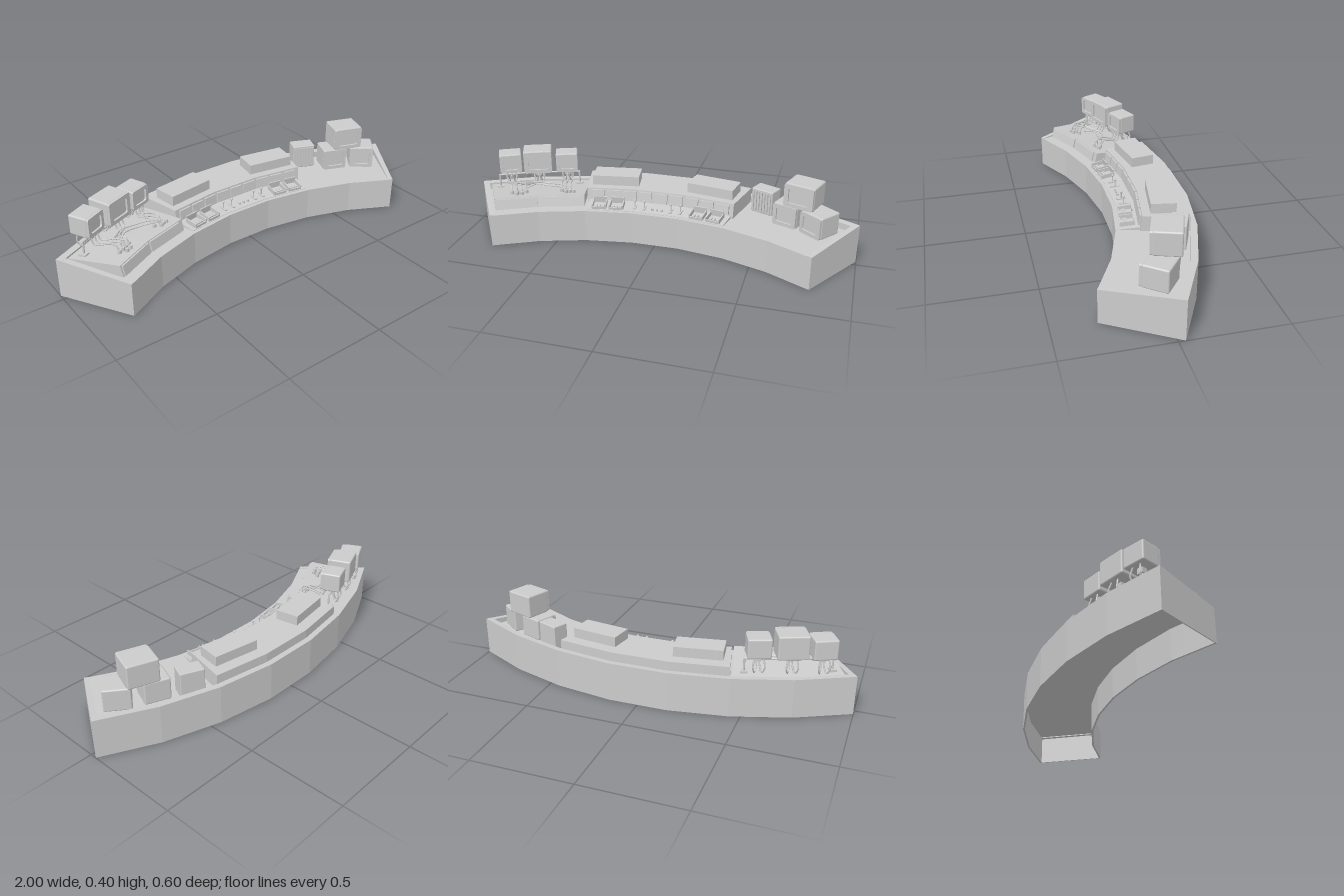
import * as THREE from 'three';
import { RoundedBoxGeometry } from 'three/addons/geometries/RoundedBoxGeometry.js';

const flat = new THREE.MeshStandardMaterial({ color: 0xcccccc, flatShading: true, side: THREE.DoubleSide });
const smooth = new THREE.MeshStandardMaterial({ color: 0xcccccc });
const STEP = THREE.MathUtils.degToRad(8.95); // the desk bends in seven flat facets
const CZ = 1.61; // centre of the arc

// Point at facet coordinate t (-3.5 to 3.5), radius r, height y, lying on the straight facet
function at(t, r, y) {
  const i = Math.min(2.5, Math.max(-3.5, Math.floor(t + 0.5) - 0.5));
  const corner = (k) => new THREE.Vector3(r * Math.sin(k * STEP), y, CZ - r * Math.cos(k * STEP));
  return corner(i).lerp(corner(i + 1), t - i);
}

function add(parent, name, geometry, material, x = 0, y = 0, z = 0) {
  const m = new THREE.Mesh(geometry, material);
  m.name = name;
  m.position.set(x, y, z);
  parent.add(m);
  return m;
}
const box = (p, name, w, h, d, x, y, z) => add(p, name, new THREE.BoxGeometry(w, h, d), flat, x, y, z);

// Sweep a closed (radius, height) profile around the arc and cap both ends
function sector(parent, name, profile, t0, t1) {
  const ts = [t0];
  for (let k = -2.5; k < 3; k++) if (k > t0 + 1e-4 && k < t1 - 1e-4) ts.push(k);
  ts.push(t1);
  const pos = [];
  const tri = (...v) => v.forEach((p) => pos.push(p.x, p.y, p.z));
  for (let s = 0; s < ts.length - 1; s++) {
    profile.forEach((a, i) => {
      const b = profile[(i + 1) % profile.length];
      const [a0, a1] = [at(ts[s], ...a), at(ts[s + 1], ...a)];
      const [b0, b1] = [at(ts[s], ...b), at(ts[s + 1], ...b)];
      tri(a0, a1, b1);
      tri(a0, b1, b0);
    });
  }
  const pts = profile.map((p) => new THREE.Vector2(...p));
  for (const f of THREE.ShapeUtils.triangulateShape(pts, [])) {
    const clockwise = THREE.ShapeUtils.area(f.map((i) => pts[i])) < 0;
    const c = clockwise ? f : [...f].reverse();
    tri(...c.map((i) => at(t0, ...profile[i])));
    tri(...[...c].reverse().map((i) => at(t1, ...profile[i])));
  }
  const g = new THREE.BufferGeometry();
  g.setAttribute('position', new THREE.Float32BufferAttribute(pos, 3));
  g.computeVertexNormals();
  return add(parent, name, g, flat);
}

// Group placed on the arc at facet coordinate t, facing the centre
function onArc(parent, name, t, r, y) {
  const g = new THREE.Group();
  g.name = name;
  g.position.copy(at(t, r, y));
  g.rotation.y = -t * STEP;
  parent.add(g);
  return g;
}

function roundRect(path, w, h, r) {
  const x = w / 2, y = h / 2;
  path.moveTo(-x + r, -y).lineTo(x - r, -y).quadraticCurveTo(x, -y, x, -y + r)
    .lineTo(x, y - r).quadraticCurveTo(x, y, x - r, y).lineTo(-x + r, y)
    .quadraticCurveTo(-x, y, -x, y - r).lineTo(-x, -y + r).quadraticCurveTo(-x, -y, -x + r, -y);
  return path;
}

// Boxy tube monitor with a framed, recessed screen; origin at its bottom centre
function monitor(parent, name, x, y, z, w, h, d, turn) {
  const g = new THREE.Group();
  g.name = name;
  g.position.set(x, y, z);
  g.rotation.y = turn;
  parent.add(g);
  add(g, 'casing', new RoundedBoxGeometry(w, h, d - 0.01, 2, 0.008), smooth, 0, h / 2, -0.005);
  const frame = roundRect(new THREE.Shape(), w - 0.004, h - 0.004, 0.01);
  frame.holes.push(roundRect(new THREE.Path(), w * 0.68, h * 0.64, 0.012));
  const fg = new THREE.ExtrudeGeometry(frame, { depth: 0.013, bevelEnabled: false, curveSegments: 4 });
  add(g, 'screenFrame', fg, flat, 0, h / 2, d / 2 - 0.013);
  return g;
}

function cable(parent, name, points, r = 0.004) {
  const curve = new THREE.CatmullRomCurve3(points);
  return add(parent, name, new THREE.TubeGeometry(curve, 18, r, 6), smooth);
}

export function createModel() {
  const root = new THREE.Group();
  root.name = 'curvedControlDesk';

  // Desk shell, open underneath, with a raised rim at the back and both ends
  sector(root, 'deskShell', [[1.54, 0], [1.54, 0.168], [1.89, 0.166], [1.89, 0.198], [1.922, 0.2], [1.922, 0],
    [1.912, 0], [1.912, 0.155], [1.55, 0.155], [1.55, 0]], -3.5, 3.5);
  for (const s of [-1, 1]) {
    const [a, b] = [s * 3.5, s * 3.4].sort((p, q) => p - q);
    sector(root, 'endRim', [[1.54, 0.15], [1.54, 0.17], [1.922, 0.2], [1.922, 0.15]], a, b);
    const [c, d] = [s * 3.5, s * 3.48].sort((p, q) => p - q);
    sector(root, 'endWall', [[1.54, 0], [1.54, 0.17], [1.922, 0.2], [1.922, 0]], c, d);
  }

  // Middle: raised deck, sloping control strip and display panels
  sector(root, 'middleDeck', [[1.655, 0.165], [1.665, 0.245], [1.89, 0.245], [1.89, 0.165]], -1.5, 1.5);
  sector(root, 'controlStrip', [[1.56, 0.165], [1.56, 0.17], [1.66, 0.182], [1.66, 0.165]], -1.46, 1.46);
  for (let i = -4; i <= 4; i++) {
    const t = i * 0.32;
    sector(root, 'displayPanel', [[1.648, 0.188], [1.655, 0.237], [1.67, 0.237], [1.67, 0.188]], t - 0.135, t + 0.135);
  }
  for (const s of [-1, 1]) {
    const b = box(root, 'deckCabinet', 0.243, 0.052, 0.122, s * 0.26, 0.27, -0.133);
    b.rotation.y = -s * 0.16;
    // Framed key units
    for (const t of [0.86, 1.22]) {
      const g = onArc(root, 'keyUnit', s * t, 1.6, 0.176);
      g.rotation.order = 'YXZ';
      g.rotation.x = 0.12;
      for (const e of [-1, 1]) {
        box(g, 'unitSide', 0.006, 0.022, 0.07, e * 0.034, 0.011, 0);
        box(g, 'unitEnd', 0.068, 0.012, 0.006, 0, 0.006, e * 0.033);
      }
      box(g, 'unitBack', 0.068, 0.034, 0.006, 0, 0.017, -0.033);
      for (let k = -1; k <= 1; k++) box(g, 'key', 0.014, 0.01, 0.02, k * 0.018, 0.005, 0.012);
    }
    // Levers standing in slots
    for (const t of [0.28, 0.48]) {
      const g = onArc(root, 'lever', s * t, 1.6, 0.174);
      box(g, 'slot', 0.014, 0.006, 0.05, 0, 0.003, 0);
      add(g, 'stem', new THREE.CylinderGeometry(0.003, 0.003, 0.035, 6), smooth, 0, 0.02, 0);
      add(g, 'knob', new THREE.SphereGeometry(0.007, 8, 6), smooth, 0, 0.04, 0);
    }
  }
  for (let i = -1; i <= 1; i++) {
    const g = onArc(root, 'button', i * 0.1, 1.59, 0.178);
    add(g, 'buttonCap', new THREE.CylinderGeometry(0.006, 0.006, 0.012, 8), smooth);
  }

  // Wing with a raised patch deck and two front plates
  const deckY = (r) => 0.225 - 0.13 * (r - 1.615);
  sector(root, 'patchDeck', [[1.6, 0.165], [1.615, 0.225], [1.89, deckY(1.89)], [1.89, 0.165]], -3.36, -1.54);
  for (const t of [-3.33, -2.47]) {
    sector(root, 'frontPlate', [[1.594, 0.172], [1.606, 0.221], [1.62, 0.221], [1.61, 0.172]], t, t + 0.82);
  }

  // Rail on two bracketed posts carrying three monitors
  const railR = 1.835, railY = 0.265;
  const rail = [-3.2, -2.5, -1.72].map((t) => at(t, railR, railY));
  for (let i = 0; i < 2; i++) {
    const line = new THREE.LineCurve3(rail[i], rail[i + 1]);
    add(root, 'rail', new THREE.TubeGeometry(line, 1, 0.005, 8), smooth);
  }
  for (const t of [-3.2, -1.72]) {
    const g = onArc(root, 'railPost', t, railR, 0.19);
    add(g, 'post', new THREE.CylinderGeometry(0.005, 0.005, 0.08, 8), smooth, 0, 0.039, 0);
    box(g, 'foot', 0.035, 0.014, 0.035, 0, 0.008, 0);
  }
  const heads = [[-0.83, -0.04, 0.115, 0.1, 0.11, 0.47], [-0.69, -0.083, 0.148, 0.12, 0.125, 0.39],
    [-0.545, -0.133, 0.115, 0.1, 0.105, 0.37]];
  heads.forEach(([x, z, w, h, d, turn], i) => {
    const m = monitor(root, 'railMonitor', x, 0.284, z, w, h, d, turn);
    box(m, 'mount', 0.03, 0.03, 0.03, 0, -0.012, 0);
    m.updateMatrix();
    const local = (a, b, c) => new THREE.Vector3(a, b, c).applyMatrix4(m.matrix);
    for (let k = 0; k < 3; k++) {
      const off = (k - 1) * 0.024;
      // Front leads to the sockets
      const t = (i === 0 ? -3.0 : i === 1 ? -2.9 : -2.02) + k * 0.09;
      const r = 1.68 - (k % 2) * 0.025, y = deckY(r);
      cable(root, 'frontCable', [local(off, 0.005, d * 0.3), local(off, -0.045, d * 0.45),
        at(t, r + 0.05, y + 0.035), at(t, r + 0.015, y + 0.036), at(t, r, y + 0.004)]);
      const s = onArc(root, 'socket', t, r, y + 0.008);
      add(s, 'socketRing', new THREE.CylinderGeometry(0.009, 0.01, 0.02, 8), smooth);
    }
    // Hanging loops at the back
    for (const e of [-0.02, 0.02]) {
      cable(root, 'rearCable', [local(e, 0.005, -d * 0.3), local(e * 1.4, -0.05, -d * 0.4),
        local(e * 0.8, -0.078, -d * 0.25), local(e * 0.4, -0.05, -d * 0.1), local(e * 0.3, 0, 0)]);
    }
  });
  // Long patch leads lying across the deck
  for (let k = 0; k < 2; k++) {
    const r = 1.7 + k * 0.03;
    cable(root, 'patchLead', [at(-2.75, r + 0.02, 0.222), at(-2.55, r + 0.04, 0.236),
      at(-2.25, r + 0.03, 0.23), at(-2.0, r - 0.02, 0.24), at(-1.86 + k * 0.08, 1.66, 0.225)]);
    add(onArc(root, 'socket', -1.86 + k * 0.08, 1.66, 0.226), 'socketRing', new THREE.CylinderGeometry(0.009, 0.01, 0.02, 8), smooth);
  }

  // Other wing: two monitors with a third on top, and a slatted unit
  monitor(root, 'lowerInnerMonitor', 0.66, 0.166, -0.045, 0.128, 0.114, 0.125, -0.38);
  monitor(root, 'lowerOuterMonitor', 0.808, 0.166, 0.03, 0.13, 0.114, 0.135, -0.66);
  monitor(root, 'upperMonitor', 0.723, 0.281, -0.025, 0.155, 0.119, 0.14, -0.33);
  const unit = new THREE.Group();
  unit.name = 'slattedUnit';
  unit.position.set(0.525, 0.166, -0.14);
  unit.rotation.y = -0.4;
  root.add(unit);
  add(unit, 'unitCase', new RoundedBoxGeometry(0.12, 0.128, 0.08, 2, 0.005), smooth, 0, 0.064, -0.003);
  for (let i = -3; i <= 3; i++) box(unit, 'slat', 0.009, 0.108, 0.008, i * 0.016, 0.064, 0.04);

  return root;
}
